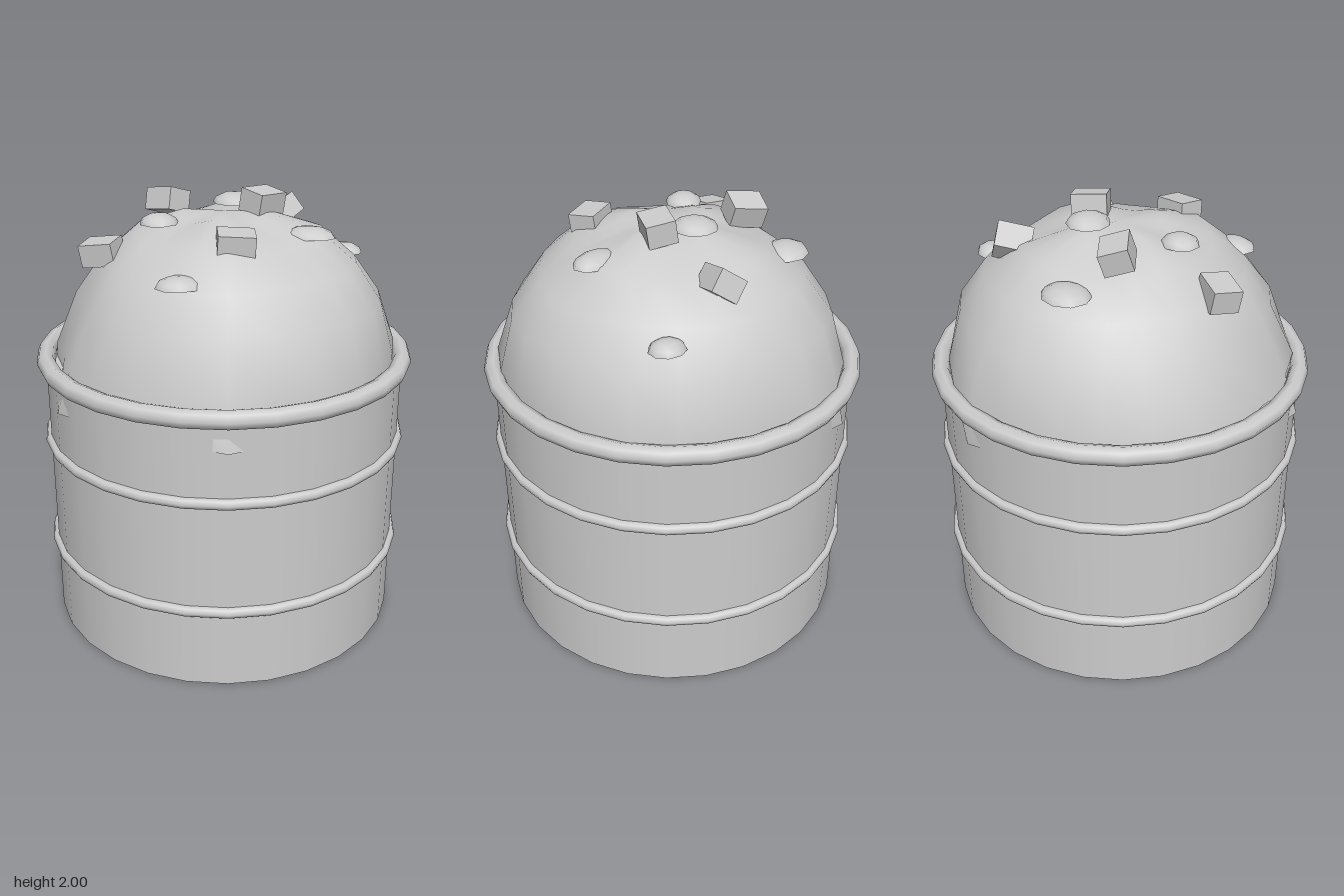
import * as THREE from 'three';
import { mergeVertices, toCreasedNormals } from 'three/addons/utils/BufferGeometryUtils.js';

const SEGMENTS = 28;

// Irregular smooth mound that fills the barrel
function heapGeometry() {
  const profile = [[0.77, 1.12], [0.77, 1.3], [0.7, 1.54], [0.58, 1.7], [0.42, 1.82], [0.2, 1.885], [0, 1.9]]
    .map(([r, y]) => new THREE.Vector2(r, y));
  let geo = new THREE.LatheGeometry(profile, 24);
  geo.deleteAttribute('normal');
  geo.deleteAttribute('uv');
  geo = mergeVertices(geo);
  const p = geo.attributes.position;
  for (let i = 0; i < p.count; i++) {
    const x = p.getX(i), y = p.getY(i), z = p.getZ(i);
    const r = Math.hypot(x, z);
    if (r < 0.01) continue;
    const a = Math.atan2(z, x);
    const deg = (Math.round(a * 180 / Math.PI) + 360) % 360;
    let s = 1;
    if (y < 1.2) {
      // a few clods of the lowest ring push out through the wall
      if ([90, 150, 270].includes(deg)) s = 0.83 / r;
    } else {
      s = 1.01 - 0.08 * Math.max(0, -Math.cos(a)) * (y > 1.4 ? 1 : 0.2) + 0.015 * Math.sin(5 * a + y * 7);
      if (deg > 160 && deg < 172) s -= 0.03;
    }
    p.setXYZ(i, x * s, y + (y > 1.8 ? 0.015 * Math.sin(4 * a + 1) : 0), z * s);
  }
  geo.computeVertexNormals();
  return geo;
}

// Flat-bottomed rounded pebble
function pebbleGeometry() {
  const pts = [[0, 0], [1, 0], [0.86, 0.5], [0.5, 0.86], [0, 1]].map(([x, y]) => new THREE.Vector2(x, y));
  return toCreasedNormals(new THREE.LatheGeometry(pts, 9), 1.1);
}

export function createModel() {
  const group = new THREE.Group();
  const grey = new THREE.MeshStandardMaterial({ color: 0xcccccc });
  grey.name = 'plain grey';

  const add = (name, geo, x = 0, y = 0, z = 0) => {
    const mesh = new THREE.Mesh(geo, grey);
    mesh.name = name;
    mesh.position.set(x, y, z);
    group.add(mesh);
    return mesh;
  };

  // Barrel wall with its base
  add('barrel', new THREE.CylinderGeometry(0.81, 0.81, 1.25, SEGMENTS), 0, 0.625, 0);

  // Rim and two hoops
  const ring = (name, y, tube) =>
    add(name, new THREE.TorusGeometry(0.81, tube, 8, SEGMENTS).rotateX(Math.PI / 2), 0, y, 0);
  ring('rim', 1.26, 0.042);
  ring('upperHoop', 0.888, 0.025);
  ring('lowerHoop', 0.37, 0.025);

  add('heap', heapGeometry());

  // Pebbles: x, base y, z, half width, half depth, turn
  const pebble = pebbleGeometry();
  [
    [-0.19, 1.705, 0.51, 0.1, 0.08, 0.1],
    [-0.2, 1.765, -0.44, 0.11, 0.1, 0],
    [0.05, 1.91, -0.13, 0.095, 0.1, 0.4],
    [0.58, 1.64, -0.28, 0.08, 0.07, -0.6],
    [-0.28, 1.865, 0.09, 0.085, 0.08, 0.3],
    [0.36, 1.82, 0.16, 0.115, 0.08, -0.25],
  ].forEach(([x, y, z, w, d, turn]) => {
    const m = add('pebble', pebble, x, y, z);
    m.scale.set(w, 0.045, d);
    m.rotation.y = turn;
  });

  // Blocky chunks: x, y, z, then tilt, turn, roll
  const chunk = new THREE.BoxGeometry(0.155, 0.1, 0.125);
  [
    [0.17, 1.935, -0.02, 0.15, 0.75, -0.05],
    [0.04, 1.845, 0.38, 0.1, 0.03, -0.06],
    [-0.53, 1.74, 0.08, 0.1, -0.35, 0.14],
    [-0.25, 1.9, -0.22, -0.3, -0.8, 0.15],
    [0.28, 1.81, -0.36, -0.6, 0.75, 0.3],
  ].forEach(([x, y, z, tilt, turn, roll]) => {
    add('chunk', chunk, x, y, z).rotation.set(tilt, turn, roll, 'YXZ');
  });

  return group;
}
